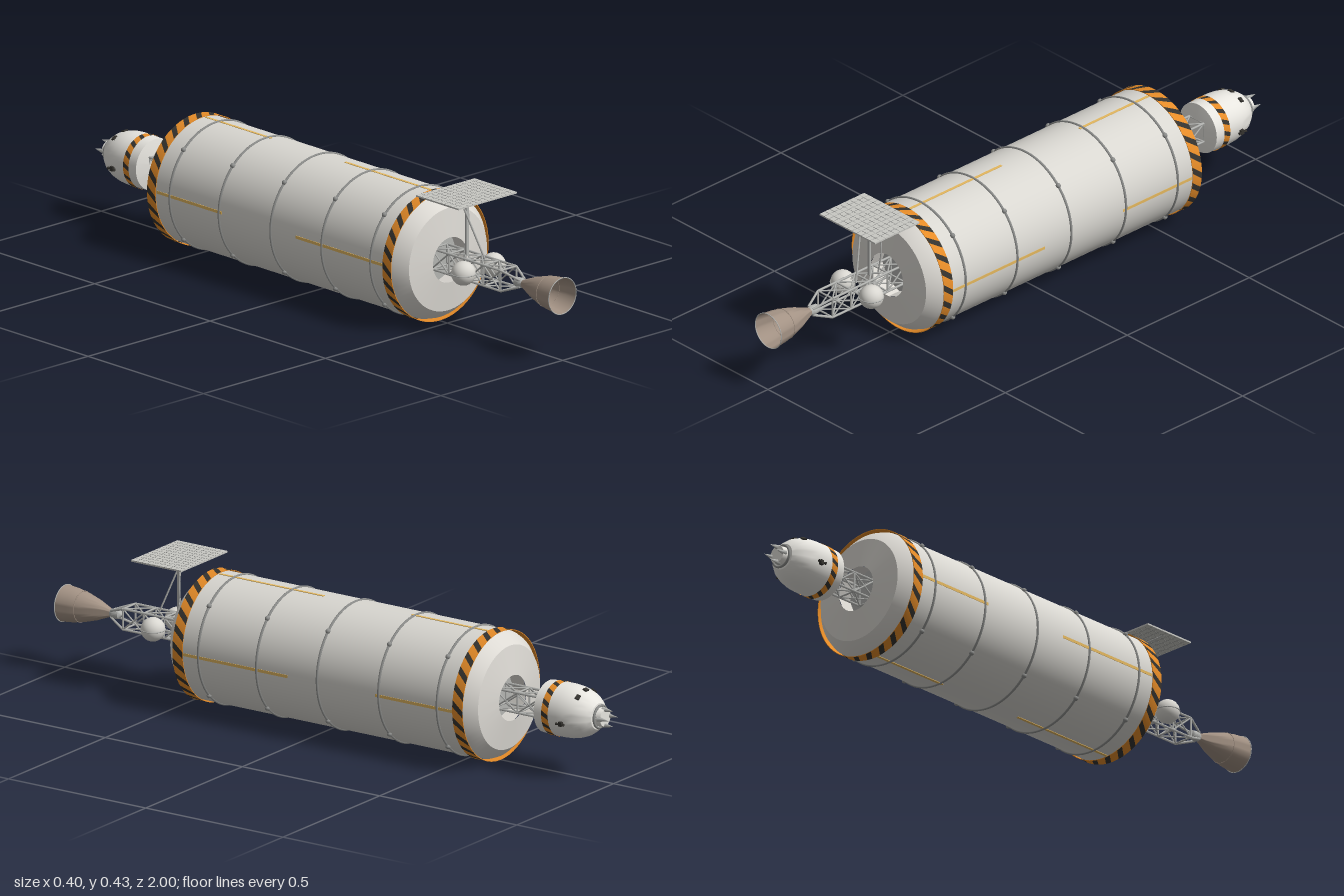
import * as THREE from 'three';
import { mergeGeometries, toCreasedNormals } from 'three/addons/utils/BufferGeometryUtils.js';

const mat = (name, color, side = THREE.FrontSide) => {
  const m = new THREE.MeshStandardMaterial({ color, side });
  m.name = name;
  return m;
};

const V = (x, y, z) => new THREE.Vector3(x, y, z);

// Surface of revolution about z from [radius, z] pairs, z rising
function lathe(points, sides = 64, crease = 0.45) {
  const g = new THREE.LatheGeometry(points.map(([r, z]) => new THREE.Vector2(r, z)), sides);
  g.rotateX(Math.PI / 2);
  return toCreasedNormals(g, crease);
}

// Round bar between two points
function bar(a, b, r = 0.003) {
  const d = b.clone().sub(a);
  const g = new THREE.CylinderGeometry(r, r, d.length(), 6);
  g.applyQuaternion(new THREE.Quaternion().setFromUnitVectors(V(0, 1, 0), d.normalize()));
  return g.translate((a.x + b.x) / 2, (a.y + b.y) / 2, (a.z + b.z) / 2);
}

// Square lattice truss with crossed braces
function truss(z0, z1, bays, h) {
  const out = [];
  const corner = (i, z) => V(h * [1, -1, -1, 1][i % 4], h * [1, 1, -1, -1][i % 4], z);
  for (let i = 0; i < 4; i++) {
    out.push(bar(corner(i, z0), corner(i, z1), 0.004));
    for (let k = 0; k <= bays; k++) {
      const z = z0 + ((z1 - z0) * k) / bays, zn = z + (z1 - z0) / bays;
      out.push(bar(corner(i, z), corner(i + 1, z)));
      if (k < bays) {
        out.push(bar(corner(i, z), corner(i + 1, zn), 0.0025));
        out.push(bar(corner(i + 1, z), corner(i, zn), 0.0025));
      }
    }
  }
  return out;
}

// Slanted two-colour band: wide cells in material group 0, narrower ones in group 1
function stripedBand(r, z0, z1, pairs = 24) {
  const pos = [], idx = [], g = new THREE.BufferGeometry();
  const n = pairs * 5, slant = 0.15;
  for (let i = 0; i <= n; i++) {
    const a = (i / n) * Math.PI * 2;
    for (const [z, t] of [[z0, a], [z1, a + slant]]) pos.push(r * Math.cos(t), r * Math.sin(t), z);
    if (i < n) {
      const k = i * 2;
      idx.push(k, k + 2, k + 3, k, k + 3, k + 1);
      if (i % 5 === 0) {
        g.addGroup(i * 6, 18, 0);
        g.addGroup(i * 6 + 18, 12, 1);
      }
    }
  }
  g.setAttribute('position', new THREE.Float32BufferAttribute(pos, 3));
  g.setIndex(idx);
  g.computeVertexNormals();
  return g;
}

export function createModel() {
  const hull = mat('hullGrey', 0xd9d7d1);
  const cap = mat('capGrey', 0xdddad4, THREE.DoubleSide);
  const white = mat('podWhite', 0xebe9e3);
  const steel = mat('trussGrey', 0xb4b5b2);
  const dark = mat('ringGrey', 0x8e8f8d);
  const orange = mat('hazardOrange', 0xf0922a, THREE.DoubleSide);
  const black = mat('hazardBlack', 0x35332f);
  const yellow = mat('lineYellow', 0xe4b860);
  const bronze = mat('nozzleBronze', 0xa39284, THREE.DoubleSide);
  const panelGrey = mat('panelGrey', 0xc8c8c3);

  const root = new THREE.Group();
  const craft = new THREE.Group();
  craft.name = 'spacecraft';
  craft.position.y = 0.203;
  root.add(craft);
  const add = (name, geometry, material) => {
    const m = new THREE.Mesh(Array.isArray(geometry) ? mergeGeometries(geometry) : geometry, material);
    m.name = name;
    craft.add(m);
  };
  const box = (w, h, d, x, y, z) => new THREE.BoxGeometry(w, h, d).translate(x, y, z);

  // Main tank and its bevelled ends with octagonal wells
  add('tank', lathe([[0.196, -0.57], [0.196, 0.445]], 96), hull);
  add('frontCap', lathe([[0.196, 0.445], [0.189, 0.468], [0.16, 0.503], [0.07, 0.512]], 64, 0.5), cap);
  add('backCap', lathe([[0.07, -0.632], [0.16, -0.619], [0.189, -0.588], [0.196, -0.57]], 64, 0.5), cap);
  for (const [name, z, s] of [['frontWell', 0.511, 1], ['backWell', -0.631, -1]]) {
    const wall = new THREE.CylinderGeometry(0.0755, 0.0755, 0.05, 8, 1, true).rotateX(Math.PI / 2).translate(0, 0, z - s * 0.026);
    const floor = new THREE.CircleGeometry(0.0755, 8);
    if (s < 0) floor.rotateY(Math.PI);
    add(name, toCreasedNormals(wall, 0.3), cap);
    add(name + 'Floor', floor.translate(0, 0, z - s * 0.05), steel);
  }

  // Hazard bands overhanging both ends, with an orange lining and rims
  for (const [name, z0, z1] of [['frontBand', 0.43, 0.467], ['backBand', -0.59, -0.553]]) {
    add(name, stripedBand(0.2005, z0, z1), [orange, black]);
    add(name + 'Liner', lathe([[0.2005, z0], [0.1985, z0], [0.1985, z1], [0.2005, z1]], 96), orange);
  }

  // Hoops round the tank with joints on the diagonals
  const hoops = [], joints = [];
  for (const z of [0.375, 0.163, -0.058, -0.282, -0.495]) {
    hoops.push(new THREE.TorusGeometry(0.1965, 0.0042, 6, 96).translate(0, 0, z));
    for (let i = 0; i < 4; i++) {
      joints.push(new THREE.SphereGeometry(0.008, 10, 8).translate(0.198, 0, z).rotateZ(Math.PI / 4 + (i * Math.PI) / 2));
    }
  }
  add('tankHoops', hoops, dark);
  add('hoopJoints', joints, dark);

  // Painted guide lines on four sides
  const lines = [];
  for (let i = 0; i < 4; i++) {
    for (const [z0, z1] of [[0.05, 0.43], [-0.553, -0.27]]) {
      lines.push(box(0.002, 0.009, z1 - z0, 0.1962, -0.007, (z0 + z1) / 2).rotateZ((i * Math.PI) / 2));
    }
  }
  add('guideLines', lines, yellow);

  // Front and back trusses, the front one closing on the engine
  const front = truss(0.465, 0.765, 4, 0.032);
  for (const x of [-1, 1]) for (const y of [-1, 1]) {
    front.push(bar(V(x * 0.032, y * 0.032, 0.765), V(x * 0.01, y * 0.01, 0.825), 0.004));
    front.push(bar(V(x * 0.032, y * 0.032, 0.615), V(x * 0.062, 0, 0.635), 0.003));
  }
  add('frontTruss', front, steel);
  add('backTruss', truss(-0.758, -0.585, 2, 0.031), steel);

  // Engine bell
  add('engineNozzle', lathe([[0.012, 0.83], [0.018, 0.845], [0.032, 0.88], [0.044, 0.92], [0.052, 0.96], [0.056, 1]], 40, 1), bronze);
  add('nozzleHoop', new THREE.TorusGeometry(0.0475, 0.0012, 6, 40).translate(0, 0, 0.935), bronze);
  add('nozzleRim', new THREE.TorusGeometry(0.0565, 0.0015, 6, 40).translate(0, 0, 0.9985), steel);
  add('engineMount', lathe([[0, 0.79], [0.014, 0.8], [0.016, 0.82], [0.011, 0.834], [0, 0.836]], 20), steel);
  add('injector', new THREE.SphereGeometry(0.009, 12, 8).translate(0, 0, 0.842), white);

  // Round propellant tanks either side of the front truss
  for (const [name, s] of [['leftFuelSphere', 1], ['rightFuelSphere', -1]]) {
    add(name, new THREE.SphereGeometry(0.037, 24, 16).translate(s * 0.062, 0, 0.635), hull);
    add(name + 'Seam', new THREE.TorusGeometry(0.037, 0.0018, 6, 32).rotateX(Math.PI / 2).translate(s * 0.062, 0, 0.635), steel);
  }

  // Raised panel with its grid, mast, brace and cable
  add('panel', box(0.24, 0.005, 0.183, 0, 0.2215, 0.583), panelGrey);
  const grid = [];
  for (let i = 1; i < 12; i++) grid.push(box(0.0012, 0.0058, 0.183, -0.1194 + i * 0.0199, 0.2215, 0.583));
  for (let i = 1; i < 9; i++) grid.push(box(0.24, 0.0058, 0.0012, 0, 0.2215, 0.4925 + i * 0.0201));
  add('panelGrid', grid, dark);
  add('panelMast', [
    box(0.009, 0.19, 0.007, 0, 0.125, 0.585),
    box(0.014, 0.012, 0.03, 0, 0.213, 0.58),
    bar(V(0.012, 0.032, 0.65), V(-0.03, 0.21, 0.59), 0.003),
  ], steel);
  const cable = new THREE.CatmullRomCurve3([
    V(0.012, 0.03, 0.56), V(0.028, 0.12, 0.562), V(0.018, 0.18, 0.565), V(-0.02, 0.207, 0.57), V(-0.1, 0.217, 0.575),
  ]);
  add('panelCable', new THREE.TubeGeometry(cable, 32, 0.0025, 6), steel);

  // Rear capsule with a blunt dome
  add('capsule', lathe([
    [0, -0.948], [0.04, -0.946], [0.052, -0.936], [0.065, -0.918], [0.074, -0.896], [0.08, -0.87],
    [0.082, -0.845], [0.082, -0.815], [0.08, -0.765], [0.03, -0.755], [0, -0.755],
  ], 48, 0.6), white);
  add('capsuleBand', stripedBand(0.0832, -0.818, -0.794, 14), [orange, black]);
  add('dockingRing', new THREE.TorusGeometry(0.034, 0.004, 8, 32).translate(0, 0, -0.952), dark);
  add('dockingCollar', lathe([[0, -0.97], [0.027, -0.97], [0.03, -0.945]], 24), white);

  // Docking petals, side thrusters and upper windows
  const petals = [], thrusters = [], windows = [];
  for (let i = 0; i < 4; i++) {
    petals.push(new THREE.ConeGeometry(0.009, 0.04, 6).rotateX(-Math.PI / 2).translate(0.024, 0, -0.98).rotateZ((i * Math.PI) / 2));
  }
  for (const x of [-1, 1]) {
    thrusters.push(box(0.01, 0.014, 0.012, x * 0.083, -0.018, -0.865));
    for (const s of [-1, 1]) {
      thrusters.push(new THREE.ConeGeometry(0.005, 0.012, 8).rotateX((s * Math.PI) / 2).translate(x * 0.087, -0.018, -0.865 - s * 0.008));
    }
  }
  for (const a of [-0.6, 0, 0.6]) {
    windows.push(new THREE.BoxGeometry(0.016, 0.006, 0.013).rotateX(-0.36).translate(0, 0.074, -0.899).rotateZ(a));
  }
  add('dockingPetals', petals, steel);
  add('capsuleThrusters', thrusters, black);
  add('capsuleWindows', windows, black);

  return root;
}
